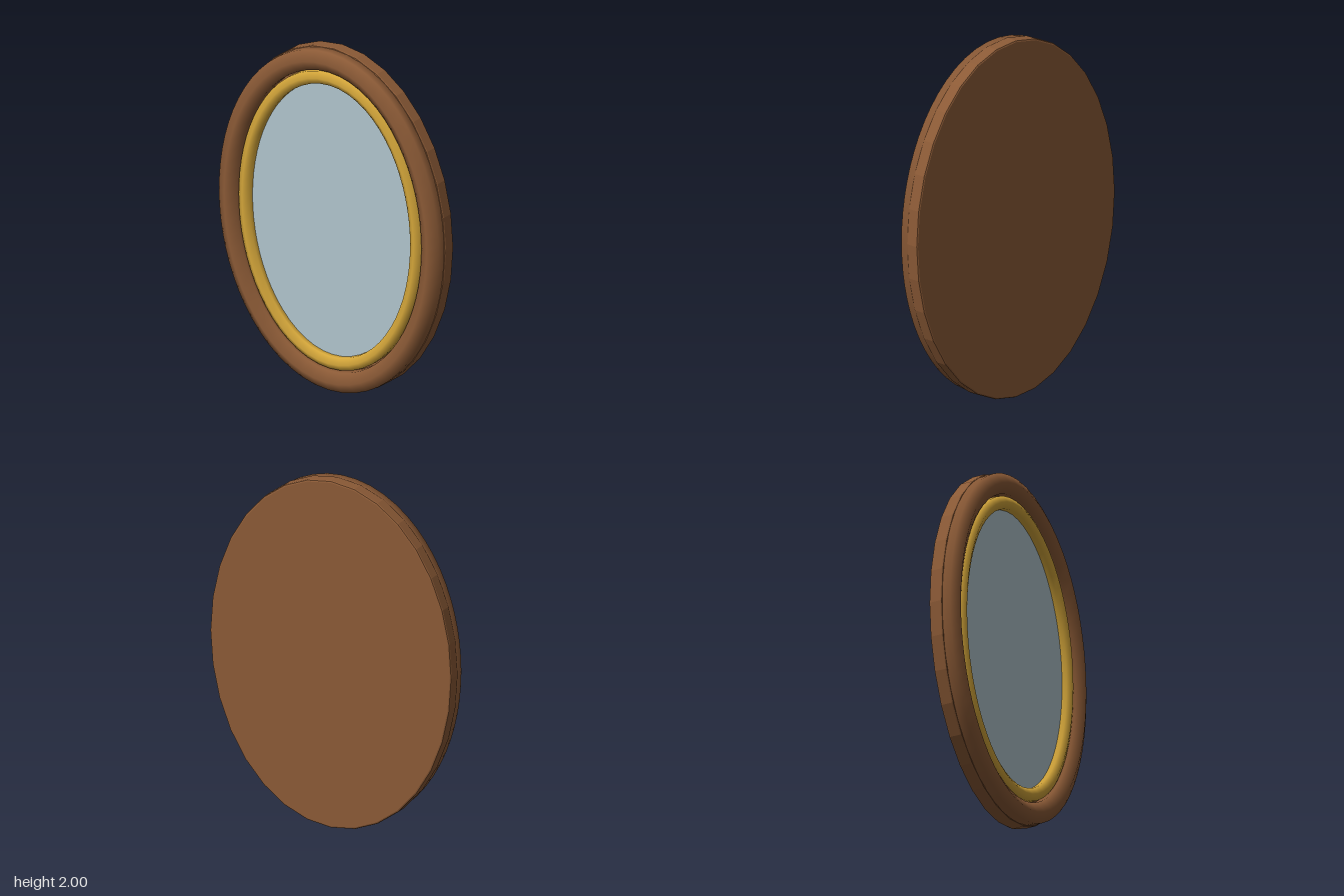
import * as THREE from 'three';

const material = (name, color) => {
  const m = new THREE.MeshStandardMaterial({ color });
  m.name = name;
  return m;
};

// Closed oval path in the XY plane
class OvalPath extends THREE.Curve {
  constructor(rx, ry) {
    super();
    this.rx = rx;
    this.ry = ry;
  }
  getPoint(t, target = new THREE.Vector3()) {
    const a = t * Math.PI * 2;
    return target.set(this.rx * Math.cos(a), this.ry * Math.sin(a), 0);
  }
}

function ovalShape(rx, ry) {
  const shape = new THREE.Shape();
  shape.absellipse(0, 0, rx, ry, 0, Math.PI * 2, false, 0);
  return shape;
}

export function createModel() {
  const model = new THREE.Group();
  model.name = 'ovalMirror';
  const wood = material('wood', 0x8b5a36);
  const gold = material('gold', 0xd4a63a);
  const glass = material('glass', 0xb0c4cc);

  const add = (name, geometry, mat, z) => {
    const mesh = new THREE.Mesh(geometry, mat);
    mesh.name = name;
    mesh.position.set(0, 1, z);
    model.add(mesh);
  };

  // Six-sided moulding swept round an oval, with its ridge to the front
  const moulding = (rx, ry, r) =>
    new THREE.TubeGeometry(new OvalPath(rx, ry), 64, r, 6, true);

  // Backing board with softened edges
  const bevel = 0.01;
  const board = new THREE.ExtrudeGeometry(ovalShape(0.735 - bevel, 1 - bevel), {
    depth: 0.08 - 2 * bevel,
    curveSegments: 16,
    bevelEnabled: true,
    bevelSize: bevel,
    bevelThickness: bevel,
    bevelSegments: 2,
  });
  add('backingBoard', board, wood, -0.08 + bevel);

  // Wooden frame and the gilded trim inside it
  add('frame', moulding(0.67, 0.935, 0.066), wood, 0.014);
  add('innerTrim', moulding(0.567, 0.832, 0.041), gold, 0.018);

  // Mirror glass
  add('mirrorGlass', new THREE.ExtrudeGeometry(ovalShape(0.555, 0.82), {
    depth: 0.009, curveSegments: 24, bevelEnabled: false,
  }), glass, 0.001);

  return model;
}
